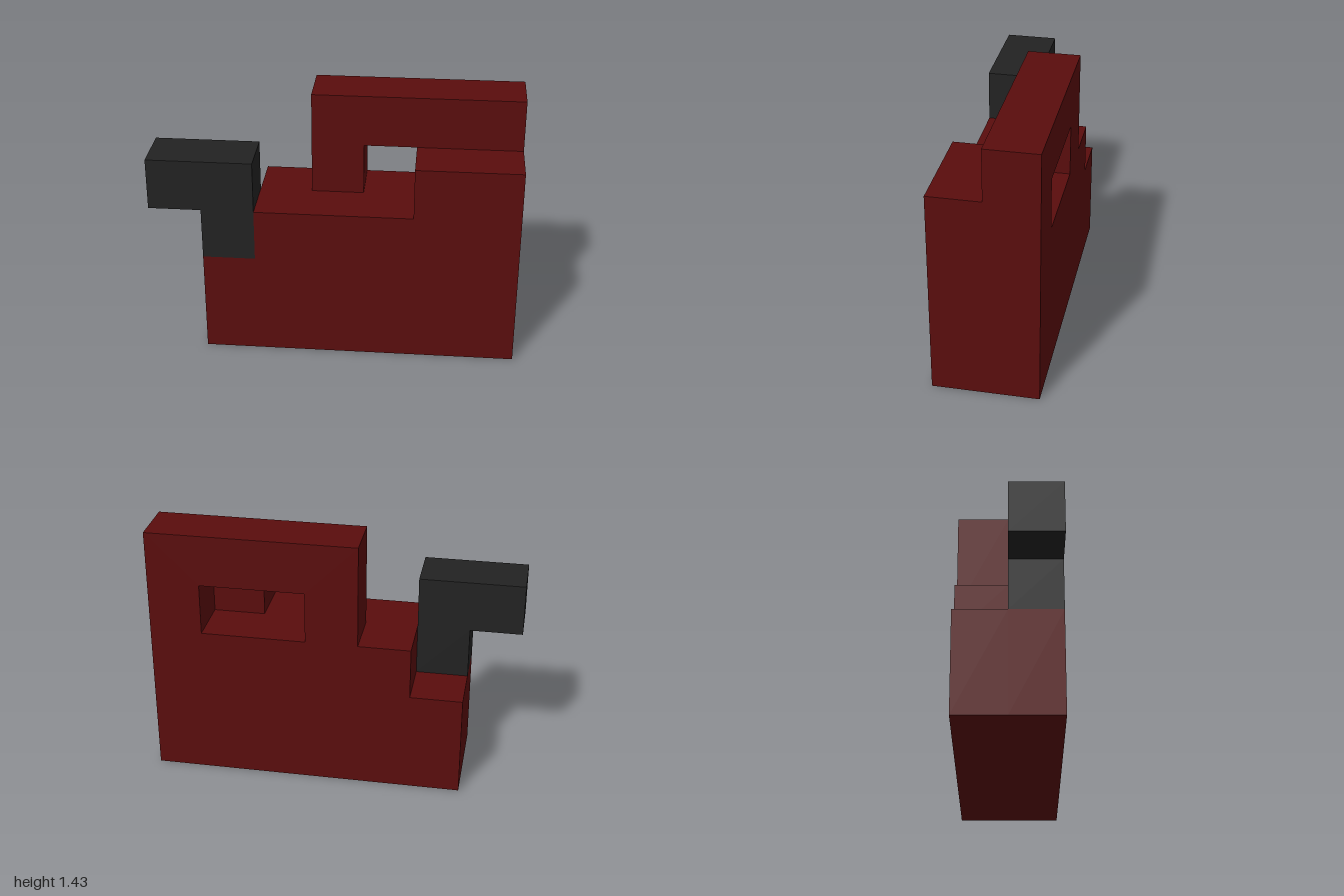
import * as THREE from 'three';

const U = 2 / 7; // one block cell

// Extrudes an outline given in cells (x from the left end, y from the floor), one cell deep
function slab(name, points, z, material, hole) {
  const toVec = ([x, y]) => new THREE.Vector2((x - 3.5) * U, y * U);
  const shape = new THREE.Shape(points.map(toVec));
  if (hole) shape.holes.push(new THREE.Path(hole.map(toVec)));
  const geometry = new THREE.ExtrudeGeometry(shape, { depth: U, bevelEnabled: false });
  const mesh = new THREE.Mesh(geometry, material);
  mesh.name = name;
  mesh.position.z = z;
  return mesh;
}

export function createModel() {
  const darkRed = new THREE.MeshStandardMaterial({ name: 'dark red', color: 0x5a0d0d });
  const charcoal = new THREE.MeshStandardMaterial({ name: 'charcoal', color: 0x222222 });

  const group = new THREE.Group();
  group.name = 'blockModel';

  // Front half of the body, stepping up towards the left
  group.add(slab('frontBody',
    [[1, 0], [7, 0], [7, 4], [5, 4], [5, 3], [3, 3], [3, 2], [1, 2]], 0, darkRed));

  // Back half of the body with the raised, pierced handle
  group.add(slab('backBodyWithHandle',
    [[1, 0], [7, 0], [7, 5], [3, 5], [3, 3], [2, 3], [2, 2], [1, 2]], -U, darkRed,
    [[4, 3], [4, 4], [6, 4], [6, 3]]));

  // Low step that fills the front body beside the spout
  group.add(slab('frontStep', [[2, 2], [3, 2], [3, 3], [2, 3]], 0, darkRed));

  // Bent spout sitting on the lowest front step
  group.add(slab('spout',
    [[1, 2], [2, 2], [2, 4], [0, 4], [0, 3], [1, 3]], 0, charcoal));

  return group;
}
